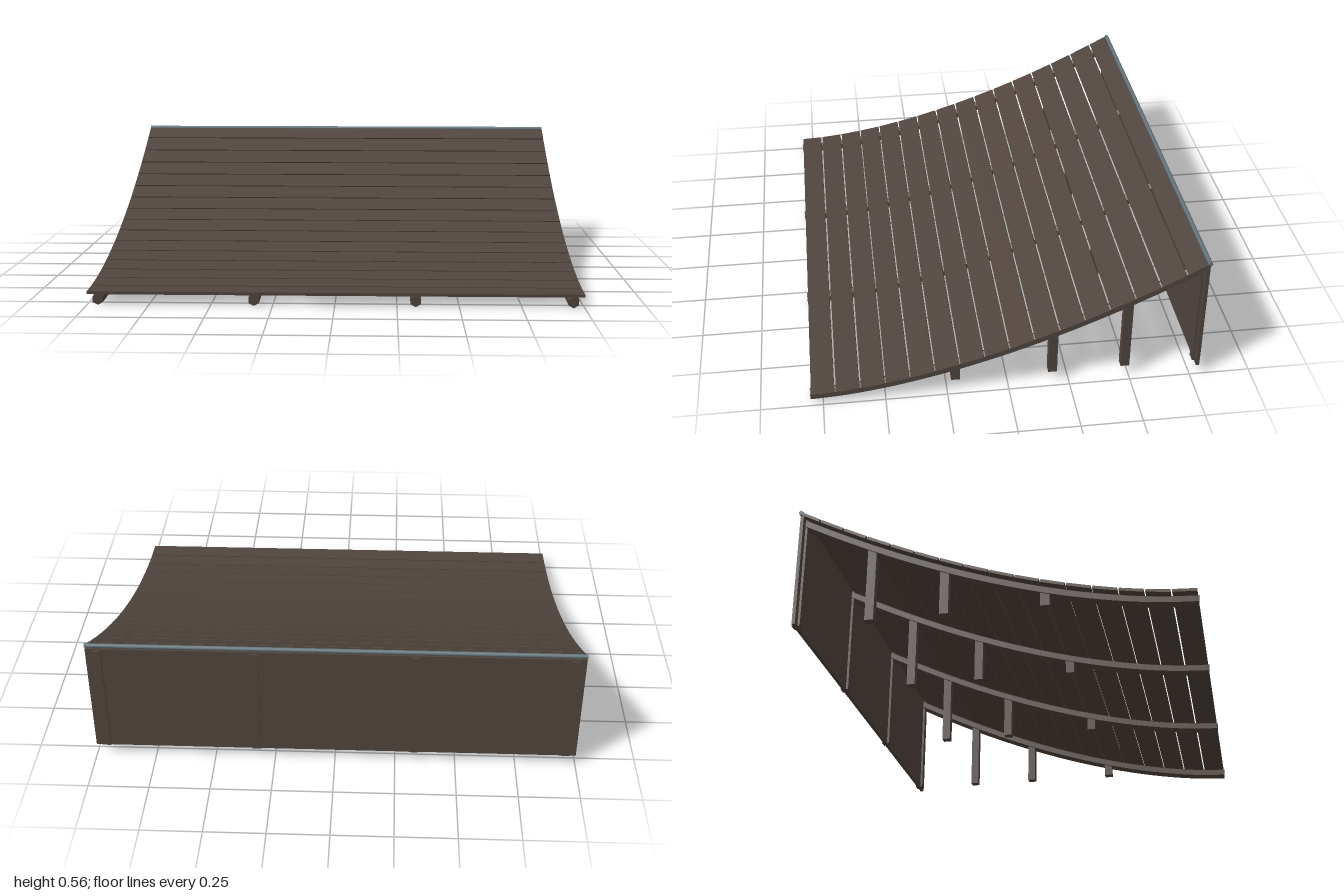
import * as THREE from 'three';

const wood = new THREE.MeshStandardMaterial({ color: 0x51453e });
wood.name = 'dark wood';
const steel = new THREE.MeshStandardMaterial({ color: 0x62737b });
steel.name = 'blue grey steel';

const FRONT = 0.8, BACK = -0.785, PLANK = 0.012, RAIL = 0.024;
const supportX = [-0.955, -0.325, 0.325, 0.955];

// Riding surface: flat at the front, steeper towards the back
const surface = (z) => 0.055 + 0.497 * Math.pow(Math.max(0, FRONT - z) / 1.58, 1.7);
const slope = (z) => (surface(z - 0.002) - surface(z + 0.002)) / 0.004;

// Point a given distance below the surface, measured square to it
function below(z, distance) {
  const s = slope(z), k = distance / Math.hypot(1, s);
  return new THREE.Vector3(0, surface(z) - k, z - k * s);
}

export function createModel() {
  const group = new THREE.Group();
  group.name = 'ramp';
  const add = (name, geometry, material, x, y, z) => {
    const mesh = new THREE.Mesh(geometry, material);
    mesh.name = name;
    mesh.position.set(x, y, z);
    group.add(mesh);
    return mesh;
  };

  // Planks laid across the curve with narrow gaps
  for (let i = 0; i < 16; i++) {
    const z0 = FRONT - i * 0.1, z1 = Math.max(BACK, z0 - 0.1);
    const y0 = surface(z0), y1 = surface(z1);
    const angle = Math.atan2(y1 - y0, z0 - z1);
    const length = Math.hypot(y1 - y0, z0 - z1) - 0.007;
    const plank = add('plank', new THREE.BoxGeometry(2, PLANK, length), wood, 0,
      (y0 + y1) / 2 - Math.cos(angle) * PLANK / 2,
      (z0 + z1) / 2 - Math.sin(angle) * PLANK / 2);
    plank.rotation.x = angle;
  }

  // Curved six-sided rails under the planks
  const points = [];
  for (let i = 0; i <= 12; i++) {
    points.push(below(FRONT + (BACK + 0.025 - FRONT) * i / 12, PLANK + 0.019));
  }
  const hexagon = new THREE.Shape();
  for (let i = 0; i < 6; i++) {
    const a = Math.PI / 6 + i * Math.PI / 3;
    hexagon[i ? 'lineTo' : 'moveTo'](RAIL * Math.cos(a), RAIL * Math.sin(a));
  }
  hexagon.closePath();
  const railGeometry = new THREE.ExtrudeGeometry(hexagon, {
    steps: 32, extrudePath: new THREE.CatmullRomCurve3(points),
  });

  for (const x of supportX) {
    add('rail', railGeometry, wood, x, 0, 0);

    // Legs up to the rail
    for (const z of [0.215, -0.183, -0.483]) {
      const top = surface(z) - 0.036, bottom = 0.05;
      add('leg', new THREE.BoxGeometry(0.036, top - bottom, 0.036), wood, x, (top + bottom) / 2, z);
    }

    // Posts that hold the back panel
    add('backPost', new THREE.BoxGeometry(0.036, 0.48, 0.034), wood, x, 0.29, -0.781);
  }

  // Back panel
  add('backPanel', new THREE.BoxGeometry(2, 0.49, 0.014), wood, 0, 0.29, -0.781);

  // Steel pipe along the top edge
  const coping = add('coping', new THREE.CylinderGeometry(0.009, 0.009, 2, 12), steel, 0, 0.553, -0.788);
  coping.rotation.z = Math.PI / 2;

  return group;
}
